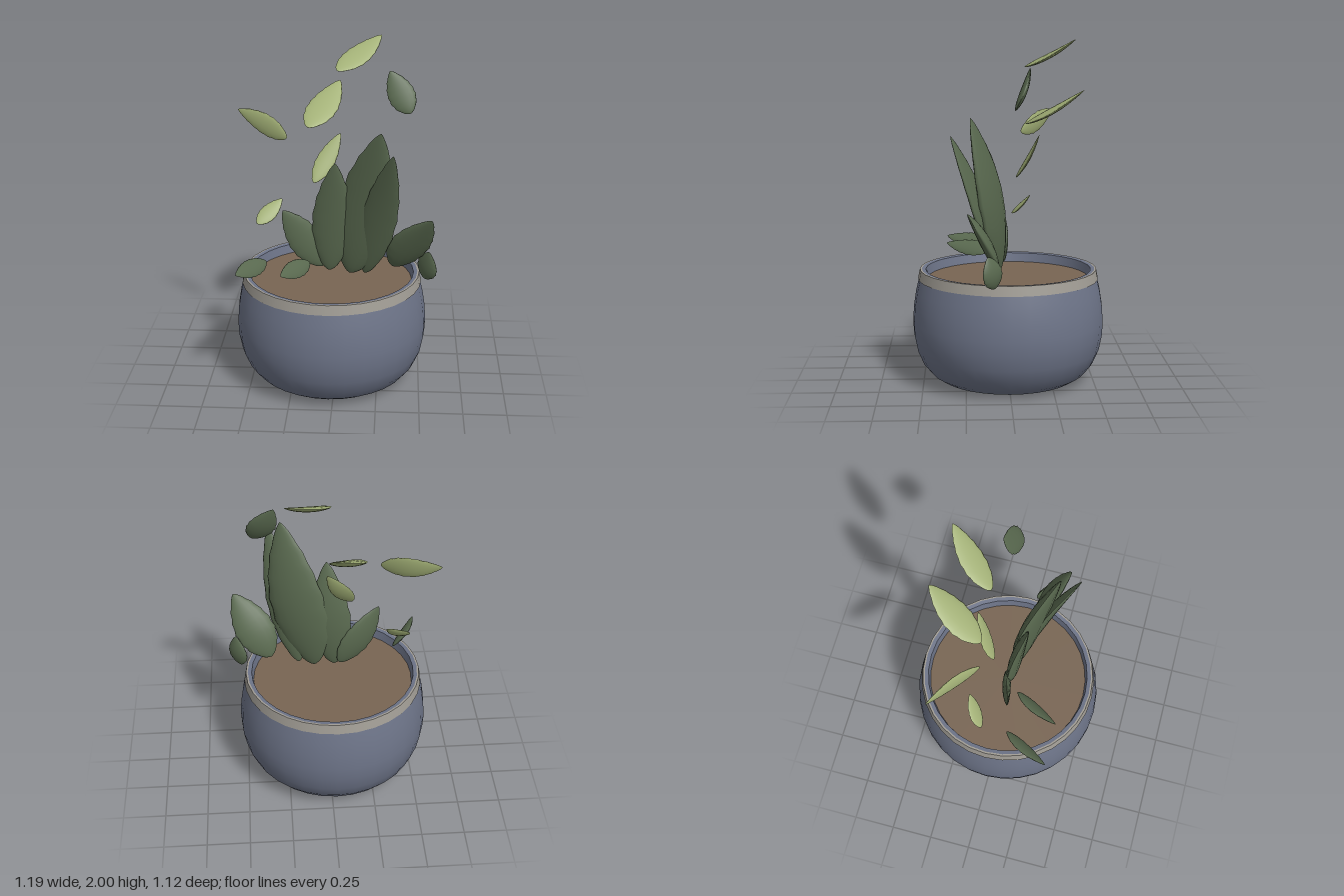
import * as THREE from 'three';

const V = (a) => new THREE.Vector3(...a);

export function createModel() {
  const model = new THREE.Group();
  const mat = (name, color) => {
    const m = new THREE.MeshStandardMaterial({ color });
    m.name = name;
    return m;
  };
  const glaze = mat('slateGlaze', 0x6d7488);
  const trim = mat('stoneTrim', 0xa09c94);
  const earth = mat('soil', 0x786553);
  const dark = mat('darkLeaf', 0x59694f);
  const light = mat('paleLeaf', 0xa3b177);

  // Pot: separate lathes keep the corners between them sharp
  const pot = new THREE.Group();
  pot.name = 'pot';
  pot.position.x = -0.027;
  model.add(pot);
  const lathe = (name, material, pts) => {
    const points = pts.map(([r, y]) => new THREE.Vector2(r, y));
    const mesh = new THREE.Mesh(new THREE.LatheGeometry(points, 32), material);
    mesh.name = name;
    pot.add(mesh);
  };
  lathe('potBottom', glaze, [[0, 0], [0.35, 0]]);
  lathe('potBody', glaze, [[0.35, 0], [0.4, 0.016], [0.455, 0.05], [0.505, 0.11], [0.54, 0.19],
    [0.558, 0.28], [0.562, 0.36], [0.556, 0.45], [0.542, 0.54], [0.524, 0.615]]);
  lathe('rimBandFoot', trim, [[0.515, 0.61], [0.53, 0.61]]);
  lathe('rimBand', trim, [[0.53, 0.61], [0.519, 0.667]]);
  lathe('rimBandTop', trim, [[0.519, 0.667], [0.508, 0.667]]);
  lathe('rimLip', glaze, [[0.508, 0.667], [0.485, 0.664]]);
  lathe('innerWall', glaze, [[0.485, 0.664], [0.474, 0.605]]);
  lathe('soil', earth, [[0.48, 0.61], [0, 0.61]]);

  // Leaf: a sphere reshaped to a pointed lens with a lightly toothed edge
  const leaf = (name, material, base, tip, width, facing, thick = 0.2) => {
    const b = V(base);
    const along = V(tip).sub(b);
    const length = along.length();
    along.normalize();
    const across = along.clone().cross(V(facing)).normalize();
    const normal = across.clone().cross(along);
    const geo = new THREE.SphereGeometry(1, 16, 20);
    const p = geo.attributes.position;
    for (let i = 0; i < p.count; i++) {
      const y = p.getY(i);
      const t = (1 + y) / 2;
      const r = Math.sqrt(Math.max(1 - y * y, 1e-9));
      const c = p.getX(i) / r;
      const s = p.getZ(i) / r;
      const half = 0.5 * width * Math.pow(Math.max(Math.sin(Math.PI * Math.pow(t, 0.82)), 0), 0.75);
      const tooth = 1 + 0.035 * c * c * Math.sin(t * 42);
      const depth = s * Math.pow(Math.abs(s), 0.35) * half * thick;
      const bow = -0.03 * length * Math.sin(Math.PI * t);
      p.setXYZ(i, c * half * tooth, t * length, depth + bow);
    }
    // across x along = normal, so the basis is right-handed
    geo.applyMatrix4(new THREE.Matrix4().makeBasis(across, along, normal).setPosition(b));
    geo.computeVertexNormals();
    const mesh = new THREE.Mesh(geo, material);
    mesh.name = name;
    model.add(mesh);
  };

  // Standing cluster
  leaf('tallLeaf', dark, [0.08, 0.67, 0.05], [0.26, 1.57, 0.22], 0.34, [-0.35, 0, 0.93], 0.28);
  leaf('frontTallLeaf', dark, [0.17, 0.68, 0.07], [0.33, 1.475, 0.33], 0.21, [-0.3, 0, 0.9], 0.28);
  leaf('middleLeaf', dark, [-0.04, 0.68, 0.04], [0.0, 1.36, 0.11], 0.24, [-0.15, 0, 1], 0.28);
  leaf('sideLeaf', dark, [-0.07, 0.7, 0.02], [-0.305, 1.06, 0.075], 0.19, [0.25, 0.1, 1], 0.25);
  leaf('broadLeaf', dark, [0.335, 0.725, 0.07], [0.55, 1.075, 0.24], 0.23, [0, -0.5, 0.88], 0.28);
  leaf('smallRimLeaf', dark, [0.52, 0.66, 0.09], [0.545, 0.84, 0.13], 0.15, [-0.7, 0, 0.72], 0.3);

  // Leaves lying low over the soil
  for (const [name, x] of [['outerLowLeaf', -0.405], ['innerLowLeaf', -0.15]]) {
    leaf(name, dark, [x, 0.75, 0.095], [x - 0.145, 0.77, 0.365], 0.11, [0.6, 0.68, 0.35], 0.28);
  }

  // Leaves floating above
  leaf('darkFloatingLeaf', dark, [0.42, 1.62, -0.025], [0.3, 1.845, -0.11], 0.155, [0, 0.37, 0.93], 0.25);
  leaf('topLeaf', light, [0.0, 1.845, -0.095], [0.245, 2.0, -0.365], 0.15, [0, 0.87, 0.48], 0.2);
  leaf('upperLeaf', light, [-0.17, 1.505, -0.11], [0.0, 1.71, -0.44], 0.18, [0, 0.86, 0.51], 0.2);
  leaf('leftLeaf', light, [-0.29, 1.45, -0.085], [-0.6, 1.56, -0.295], 0.125, [-0.55, 0.1, 0.83], 0.2);
  leaf('slenderLeaf', light, [-0.135, 1.19, -0.05], [0.015, 1.455, -0.18], 0.11, [0, 0.45, 0.89], 0.22);
  leaf('smallPaleLeaf', light, [-0.47, 0.93, -0.04], [-0.33, 1.055, -0.145], 0.1, [0, 0.64, 0.77], 0.22);

  return model;
}
